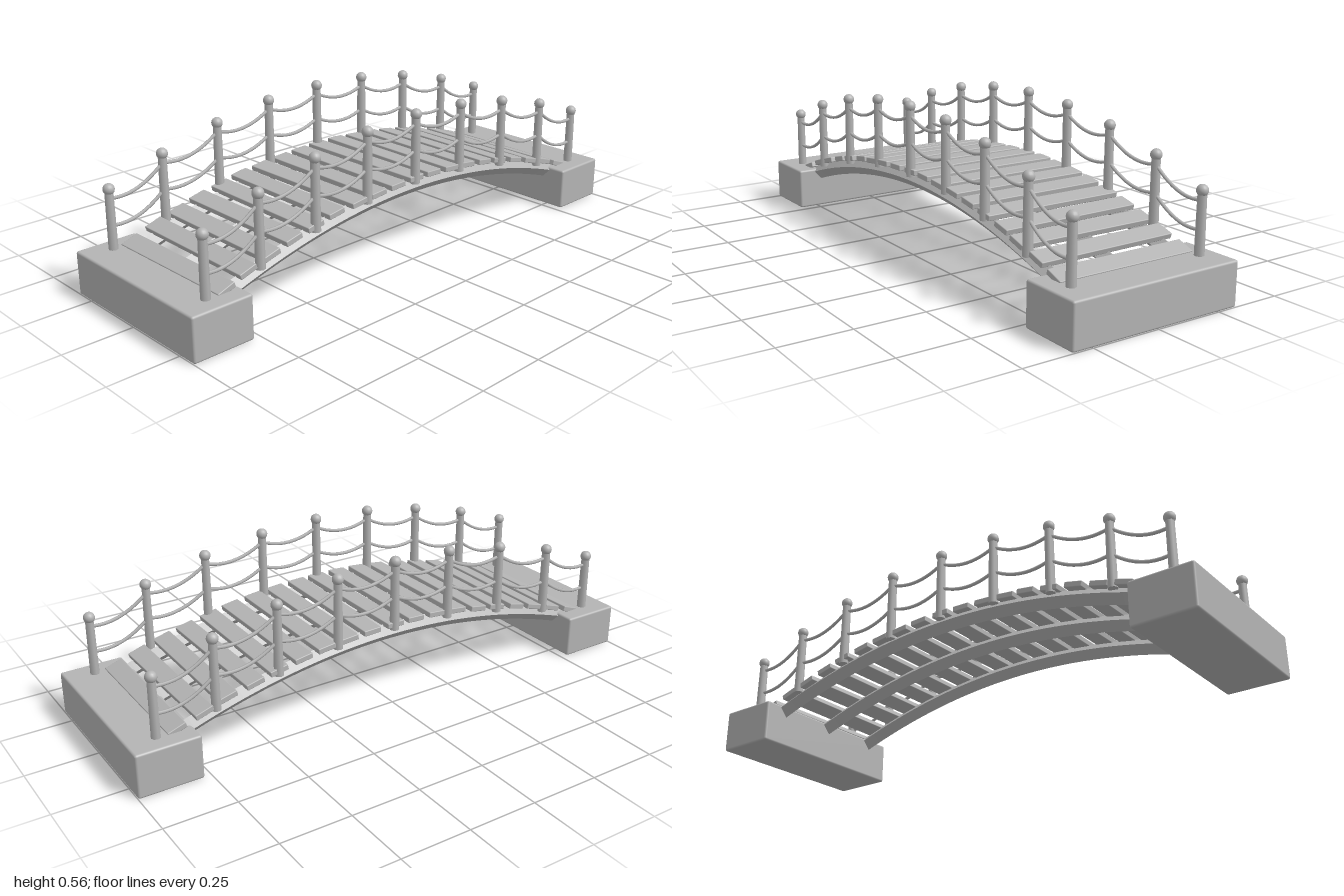
import * as THREE from 'three';
import { RoundedBoxGeometry } from 'three/addons/geometries/RoundedBoxGeometry.js';

const CURVE = 0.216;
const POST_X = [-0.9, -0.69, -0.46, -0.23, 0, 0.23, 0.46, 0.69, 0.9];
const POST_Z = 0.255;

// Height of the arch at x, given its height at the crown
const arch = (x, crown) => crown - CURVE * x * x;

// Small seeded generator giving values from -1 to 1
function seeded(seed) {
  return () => {
    seed = (seed * 16807) % 2147483647;
    return (seed / 2147483647) * 2 - 1;
  };
}

export function createModel() {
  const model = new THREE.Group();
  model.name = 'archedFootbridge';
  const grey = new THREE.MeshStandardMaterial({ color: 0xb4b4b4 });
  grey.name = 'plain grey';

  const add = (name, geometry, x = 0, y = 0, z = 0, parent = model) => {
    const mesh = new THREE.Mesh(geometry, grey);
    mesh.name = name;
    mesh.position.set(x, y, z);
    parent.add(mesh);
    return mesh;
  };

  // Abutment blocks at both ends
  const block = new RoundedBoxGeometry(0.225, 0.155, 0.65, 3, 0.008);
  for (const s of [-1, 1]) add(s > 0 ? 'leftAbutment' : 'rightAbutment', block, s * 0.8875, 0.0775, 0);

  // Three four-sided arched beams, with hard edges
  const spine = new THREE.QuadraticBezierCurve3(
    new THREE.Vector3(-0.9, arch(0.9, 0.275), 0),
    new THREE.Vector3(0, 0.275 + CURVE * 0.81, 0),
    new THREE.Vector3(0.9, arch(0.9, 0.275), 0)
  );
  const beam = new THREE.TubeGeometry(spine, 40, 0.03, 4).toNonIndexed();
  beam.computeVertexNormals();
  for (const z of [-0.23, 0, 0.23]) add('archBeam', beam, 0, 0, z);

  // Slightly uneven deck planks following the arch
  const deck = new THREE.Group();
  deck.name = 'deck';
  model.add(deck);
  const rand = seeded(4321);
  const plank = new RoundedBoxGeometry(0.067, 0.02, 0.528, 2, 0.003);
  for (let i = -9; i <= 9; i++) {
    const x = i * 0.092;
    const mesh = add('plank', plank, x, arch(x, 0.309) + rand() * 0.001, rand() * 0.005, deck);
    mesh.rotation.set(0, rand() * 0.012, Math.atan(-2 * CURVE * x));
  }

  // Railings: posts with ball caps, and two sagging ropes
  const post = new THREE.CylinderGeometry(0.015, 0.017, 0.25, 8);
  const ball = new THREE.SphereGeometry(0.02, 16, 12);
  for (const s of [-1, 1]) {
    const railing = new THREE.Group();
    railing.name = s > 0 ? 'frontRailing' : 'backRailing';
    railing.position.z = s * POST_Z;
    model.add(railing);

    for (const x of POST_X) {
      add('post', post, x, arch(x, 0.415), 0, railing);
      add('postCap', ball, x, arch(x, 0.54), 0, railing);
    }

    for (const crown of [0.508, 0.413]) {
      for (let i = 0; i < POST_X.length - 1; i++) {
        const a = new THREE.Vector3(POST_X[i], arch(POST_X[i], crown), 0);
        const b = new THREE.Vector3(POST_X[i + 1], arch(POST_X[i + 1], crown), 0);
        const dip = a.clone().add(b).multiplyScalar(0.5);
        dip.y -= 0.056;
        const span = new THREE.QuadraticBezierCurve3(a, dip, b);
        add('rope', new THREE.TubeGeometry(span, 12, 0.006, 6), 0, 0, 0, railing);
      }
    }
  }
  return model;
}
